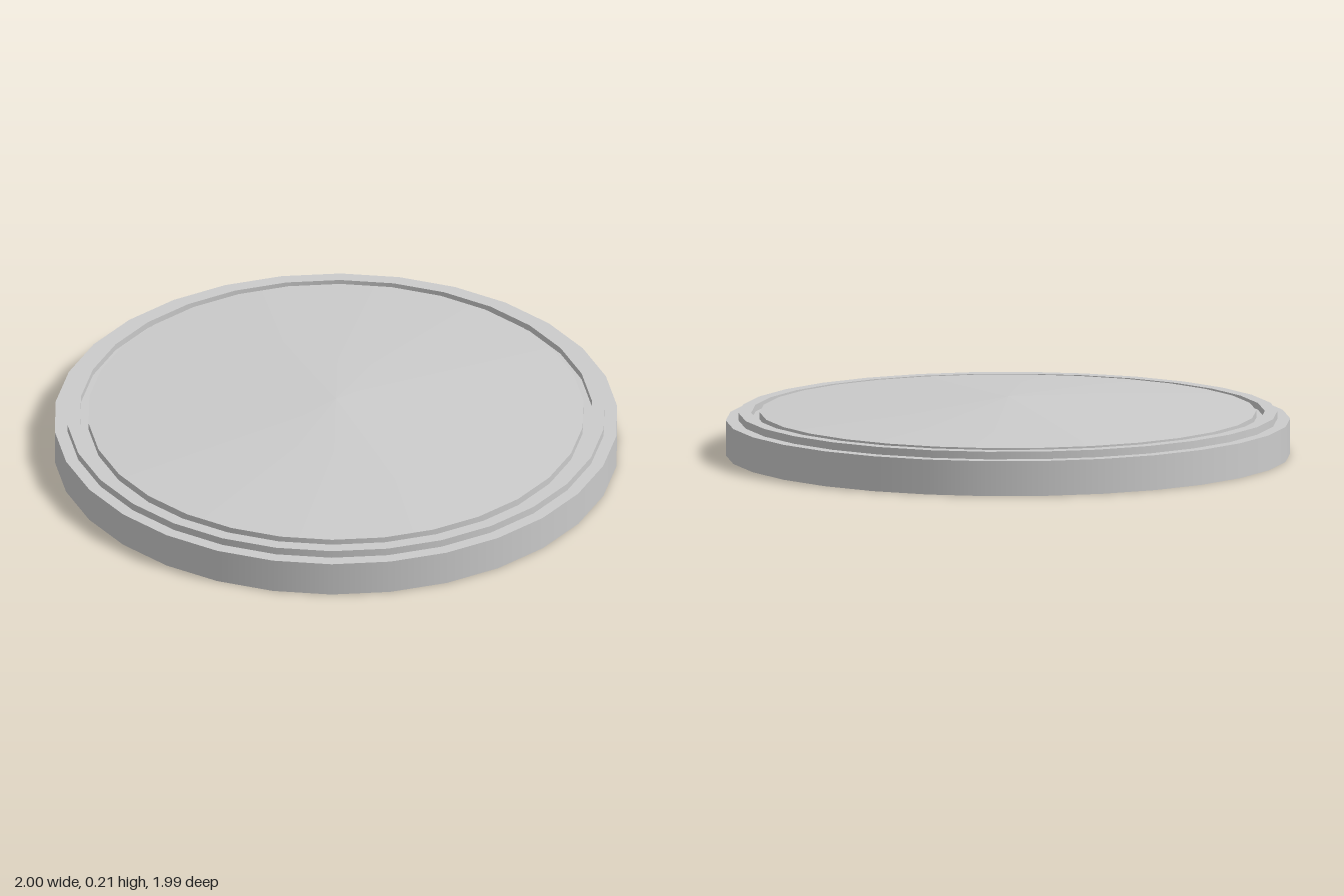
import * as THREE from 'three';

const SIDES = 30;

export function createModel() {
  const lid = new THREE.Group();
  lid.name = 'lid';
  const material = new THREE.MeshStandardMaterial({ color: 0xcccccc, side: THREE.DoubleSide });

  // One band of the thin shell; separate bands keep the edges between them sharp
  const addBand = (name, r0, y0, r1, y1) => {
    const points = [new THREE.Vector2(r0, y0), new THREE.Vector2(r1, y1)];
    const mesh = new THREE.Mesh(new THREE.LatheGeometry(points, SIDES, Math.PI / 2), material);
    mesh.name = name;
    lid.add(mesh);
  };

  // Profile from the open bottom edge up and inward to the peak: [radius, height, band ending here]
  const profile = [
    [1, 0],
    [1, 0.125, 'outerWall'],
    [0.955, 0.125, 'shoulder'],
    [0.955, 0.152, 'rimWall'],
    [0.91, 0.152, 'rimTop'],
    [0.91, 0.128, 'grooveOuterWall'],
    [0.88, 0.128, 'grooveFloor'],
    [0.88, 0.154, 'grooveInnerWall'],
    [0, 0.208, 'shallowConeTop'],
  ];
  for (let i = 1; i < profile.length; i++) {
    const [r0, y0] = profile[i - 1];
    const [r1, y1, name] = profile[i];
    addBand(name, r0, y0, r1, y1);
  }

  return lid;
}
